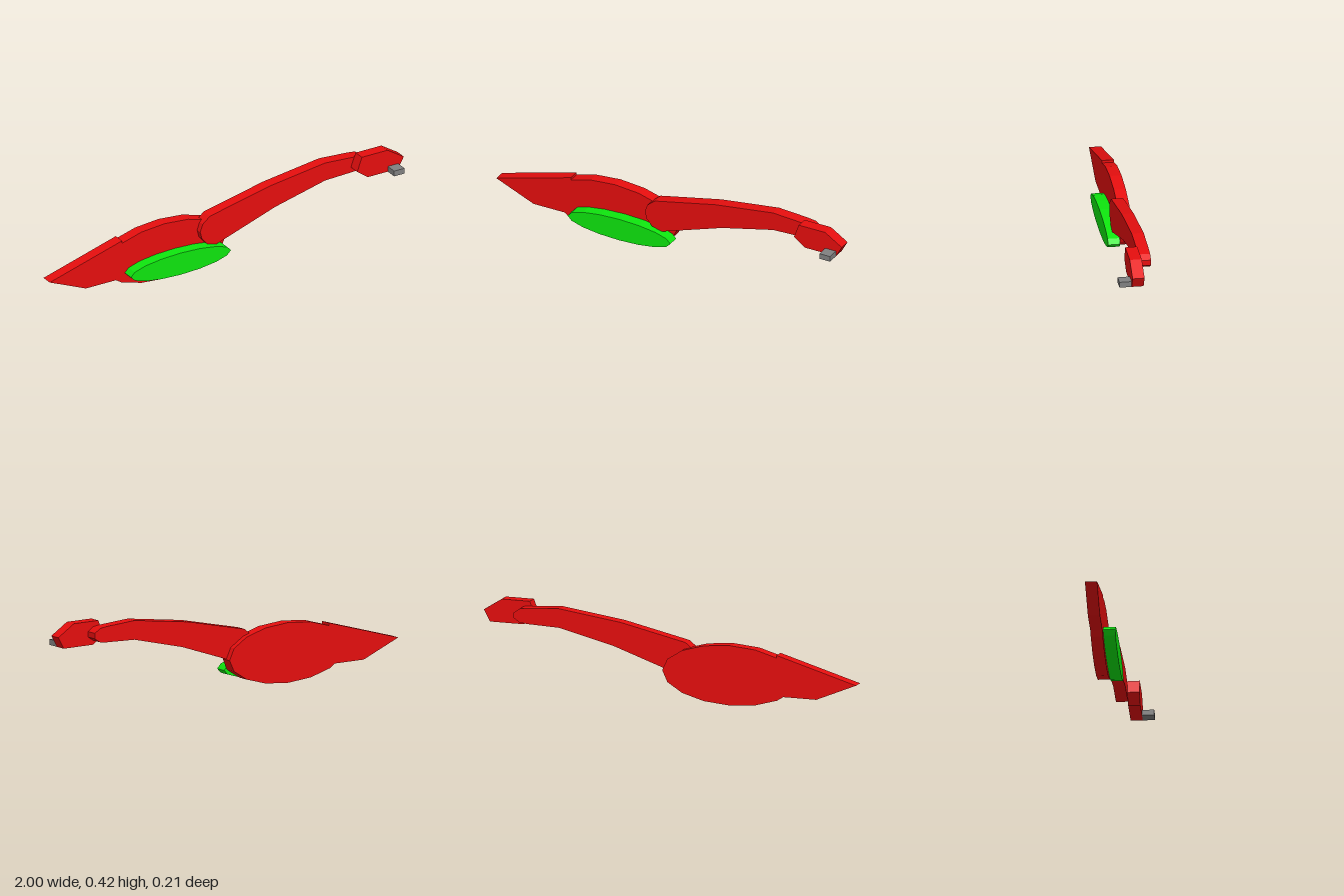
import * as THREE from 'three';

const DEPTH = 0.06;
const material = (name, color) => {
  const m = new THREE.MeshStandardMaterial({ color });
  m.name = name;
  return m;
};

// Flat plate cut from an outline, starting at the given back plane
function plate(name, points, backZ, mat, depth = DEPTH) {
  const shape = new THREE.Shape(points.map(([x, y]) => new THREE.Vector2(x, y)));
  const geo = new THREE.ExtrudeGeometry(shape, { depth, bevelEnabled: false });
  geo.translate(0, 0, backZ);
  const mesh = new THREE.Mesh(geo, mat);
  mesh.name = name;
  return mesh;
}

// Sixteen-sided oval outline
function oval(cx, cy, rx, ry, sides = 16) {
  return Array.from({ length: sides }, (_, i) => {
    const a = (i / sides) * Math.PI * 2;
    return [cx + rx * Math.cos(a), cy + ry * Math.sin(a)];
  });
}

export function createModel() {
  const red = material('red', 0xe60e0e);
  const green = material('green', 0x0ee60e);
  const grey = material('grey', 0x808080);

  const model = new THREE.Group();
  model.name = 'bird';

  // Body and pointed tail share the rear layer
  model.add(plate('body', oval(-0.332, 0.152, 0.356, 0.152), -0.105, red));
  model.add(plate('tail', [
    [-1, 0.153], [-0.79, 0.065], [-0.58, 0.065], [-0.58, 0.274],
  ], -0.105, red));

  // Wing in front of the body
  model.add(plate('wing', oval(-0.275, 0.092, 0.29, 0.06), -0.045, green));

  // Long bent neck with rounded ends
  model.add(plate('neck', [
    [-0.145, 0.22], [-0.135, 0.18], [-0.105, 0.145], [-0.05, 0.13],
    [0.024, 0.155], [0.29, 0.246], [0.58, 0.316], [0.746, 0.322], [0.79, 0.327],
    [0.82, 0.347], [0.82, 0.375], [0.79, 0.396], [0.746, 0.402], [0.58, 0.413],
    [0.254, 0.369], [-0.088, 0.294], [-0.13, 0.26],
  ], -0.075, red));

  // Head and beak step forward
  model.add(plate('head', [
    [0.73, 0.35], [0.79, 0.305], [0.967, 0.305], [1, 0.364],
    [0.906, 0.424], [0.757, 0.424],
  ], -0.015, red));
  model.add(plate('beak', [
    [0.907, 0.305], [0.967, 0.305], [0.967, 0.334], [0.907, 0.334],
  ], 0.045, grey, 0.061));

  return model;
}
